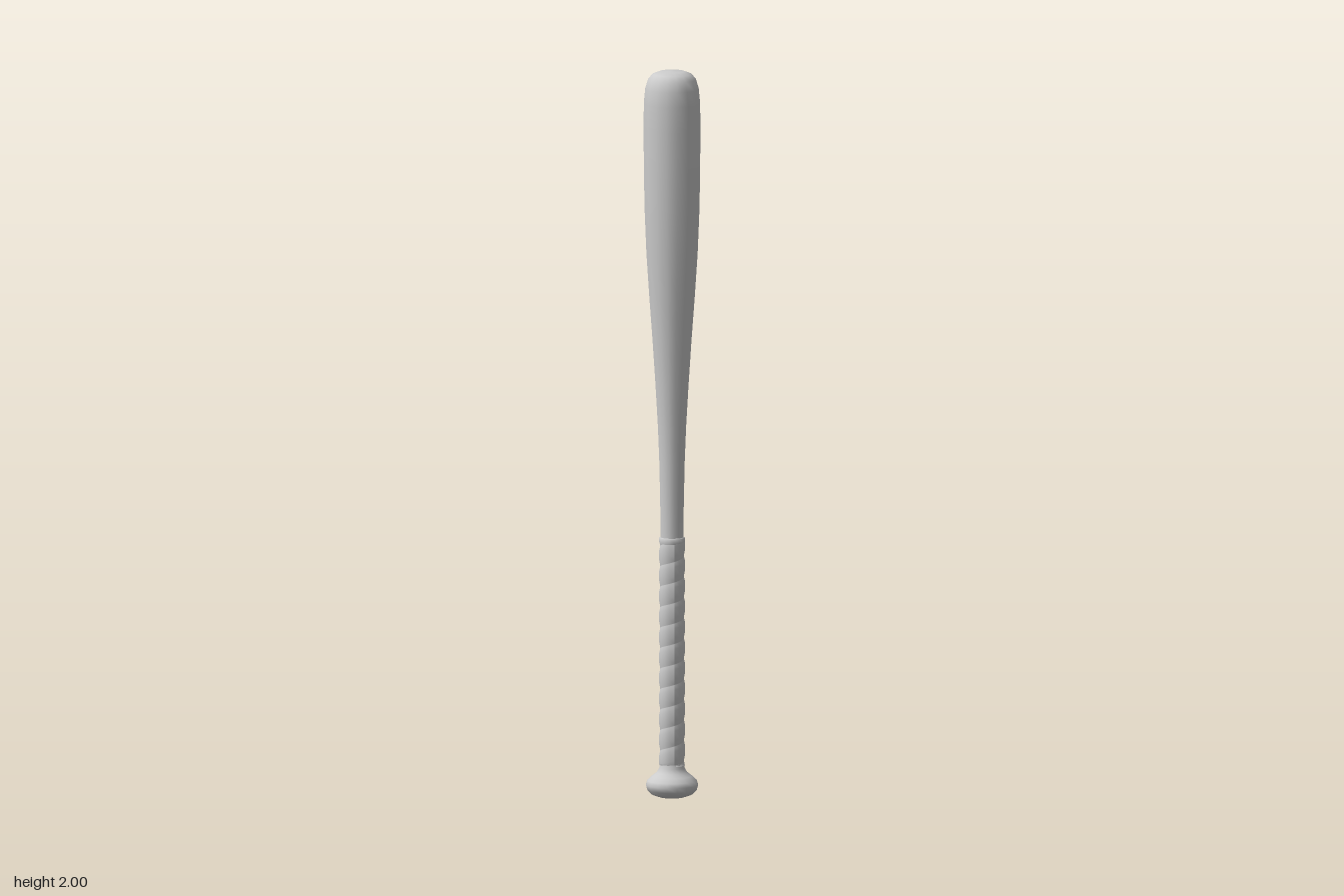
import * as THREE from 'three';

const SIDES = 16;

// Revolve a bottom-to-top list of [radius, height] pairs
function revolve(profile) {
  return new THREE.LatheGeometry(profile.map(([r, y]) => new THREE.Vector2(r, y)), SIDES);
}

// Spiral tape: overlapping turns, sheared upward by one pitch per revolution
function spiralWrap(bottom, top, turns) {
  const pitch = (top - bottom) / turns;
  const profile = [];
  for (let i = -1; i < turns; i++) {
    const y = bottom + i * pitch;
    profile.push([0.0325, y], [0.0355, y + pitch * 0.3], [0.0355, y + pitch * 0.75], [0.0325, y + pitch * 0.98]);
  }
  const geometry = revolve(profile);
  const pos = geometry.attributes.position;
  const rows = profile.length;
  for (let i = 0; i < pos.count; i++) {
    const turn = Math.floor(i / rows) / SIDES;
    pos.setY(i, THREE.MathUtils.clamp(pos.getY(i) + turn * pitch, bottom, top));
  }
  geometry.computeVertexNormals();
  return geometry;
}

export function createModel() {
  const bat = new THREE.Group();
  bat.name = 'bat';
  const grey = new THREE.MeshStandardMaterial({ color: 0xcccccc });
  grey.name = 'lightGrey';

  const add = (name, geometry) => {
    const mesh = new THREE.Mesh(geometry, grey);
    mesh.name = name;
    bat.add(mesh);
  };

  // Rounded knob flaring out below the handle
  add('knob', revolve([
    [0, 0], [0.035, 0.003], [0.055, 0.01], [0.068, 0.022], [0.072, 0.036],
    [0.068, 0.048], [0.055, 0.06], [0.042, 0.07], [0.035, 0.082], [0.032, 0.1],
  ]));

  // Tape around the handle, with a collar closing its upper end
  add('gripTape', spiralWrap(0.09, 0.71, 11));
  add('gripCollar', revolve([[0.0345, 0.7], [0.0355, 0.705], [0.0355, 0.715], [0.031, 0.717]]));

  // Handle core, taper, barrel and domed tip
  add('barrel', revolve([
    [0.031, 0.09], [0.031, 0.7], [0.0325, 0.8], [0.035, 0.92], [0.039, 1.02], [0.046, 1.14],
    [0.054, 1.26], [0.063, 1.38], [0.071, 1.5], [0.076, 1.62], [0.078, 1.74], [0.0785, 1.84],
    [0.078, 1.91], [0.074, 1.95], [0.066, 1.976], [0.053, 1.991], [0.034, 1.998], [0, 2],
  ]));

  return bat;
}
